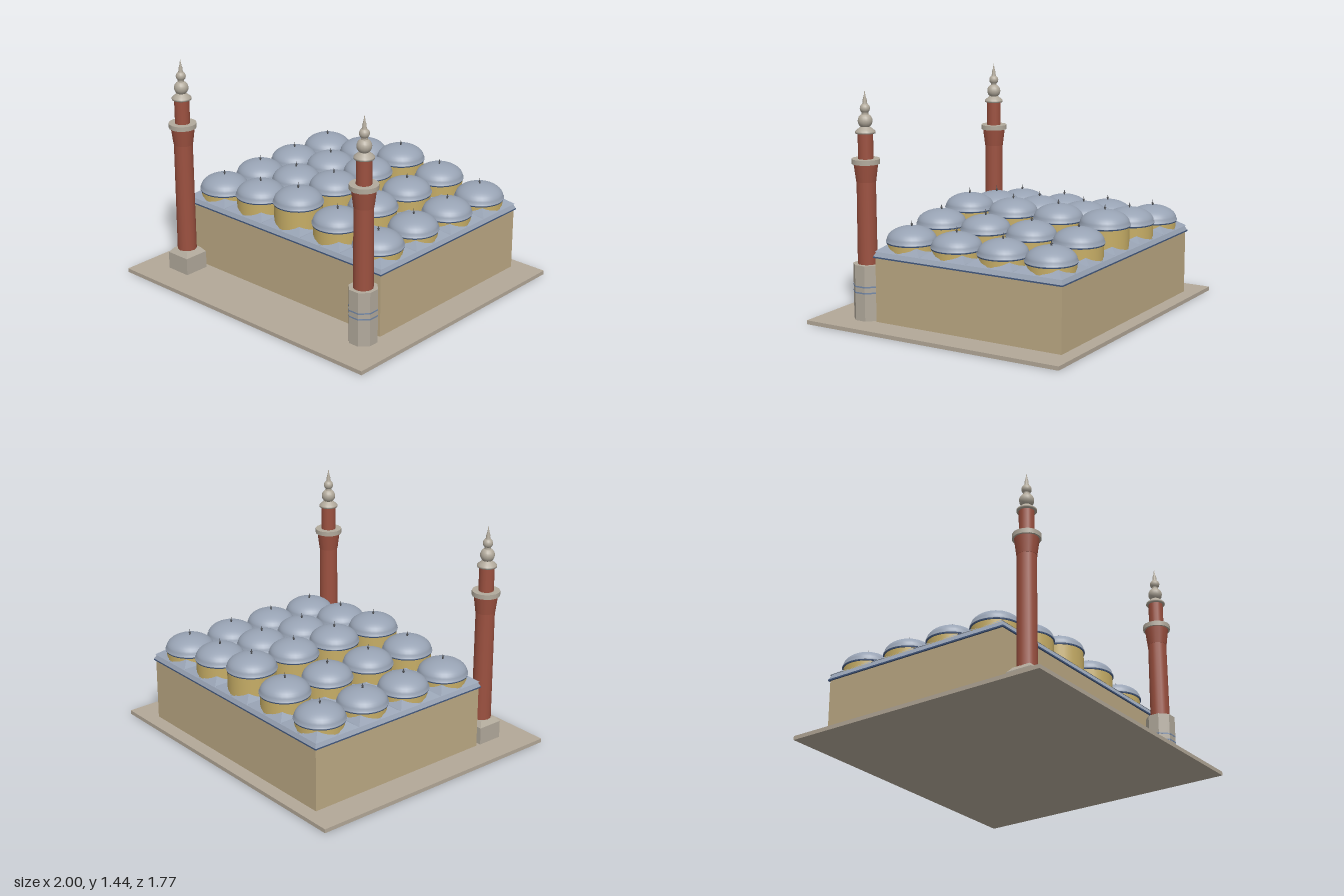
import * as THREE from 'three';

const mat = (name, color, double = false) => {
  const m = new THREE.MeshStandardMaterial({ color });
  m.name = name;
  if (double) m.side = THREE.DoubleSide;
  return m;
};

export function createModel() {
  const paving = mat('paving', 0xb3a898);
  const wallStone = mat('wallStone', 0xbca984);
  const lead = mat('lead', 0x98a3b4, true);
  const trim = mat('darkBlueTrim', 0x445a80);
  const drumStone = mat('drumStone', 0xc6ad66);
  const brick = mat('redBrick', 0x9c5140);
  const paleStone = mat('paleStone', 0xb2aa9c);
  const band = mat('blueBand', 0x7488a6);
  const metal = mat('finialMetal', 0x4a4c50);
  const model = new THREE.Group();

  const add = (parent, name, geometry, material, x = 0, y = 0, z = 0) => {
    const mesh = new THREE.Mesh(geometry, material);
    mesh.name = name;
    mesh.position.set(x, y, z);
    parent.add(mesh);
    return mesh;
  };
  // box and cylinder given by their bottom and top heights
  const box = (parent, name, w, d, y0, y1, material, x = 0, z = 0) =>
    add(parent, name, new THREE.BoxGeometry(w, y1 - y0, d), material, x, (y0 + y1) / 2, z);
  const tube = (parent, name, rBottom, rTop, y0, y1, material, sides = 32) =>
    add(parent, name, new THREE.CylinderGeometry(rTop, rBottom, y1 - y0, sides), material, 0, (y0 + y1) / 2, 0);
  const lathe = (points, sides) =>
    new THREE.LatheGeometry(points.map(([r, y]) => new THREE.Vector2(r, y)), sides);
  // four-sided frustum with separate bottom and top sizes
  const frustum = (w0, d0, w1, d1, h) => {
    const g = new THREE.BoxGeometry(1, h, 1);
    const p = g.attributes.position;
    for (let i = 0; i < p.count; i++) {
      const top = p.getY(i) > 0;
      p.setX(i, p.getX(i) * (top ? w1 : w0));
      p.setZ(i, p.getZ(i) * (top ? d1 : d0));
    }
    g.computeVertexNormals();
    return g;
  };

  // Platform, hall and roof edge
  const cz = -0.1465;
  box(model, 'platform', 2, 1.77, 0, 0.025, paving);
  box(model, 'hallWalls', 1.615, 1.295, 0.025, 0.43, wallStone, 0, cz);
  box(model, 'eavesTrim', 1.637, 1.315, 0.427, 0.436, trim, 0, cz);
  add(model, 'roofSlope', frustum(1.635, 1.313, 1.6, 1.28, 0.034), lead, 0, 0.453, cz);

  // Folded lead triangles that rise from each roof bay to the drum
  const bay = 0.325, h = bay / 2;
  const foldPoints = [];
  for (let k = 0; k < 4; k++) {
    const a = k * Math.PI / 2;
    const at = (x, y, z) => [x * Math.cos(a) + z * Math.sin(a), y, z * Math.cos(a) - x * Math.sin(a)];
    const apex = at(0.106, 0.506, 0.106), corner = at(h, 0.466, h);
    foldPoints.push(...apex, ...at(0, 0.466, h), ...corner);
    foldPoints.push(...apex, ...corner, ...at(h, 0.466, 0));
  }
  const foldGeometry = new THREE.BufferGeometry();
  foldGeometry.setAttribute('position', new THREE.Float32BufferAttribute(foldPoints, 3));
  foldGeometry.computeVertexNormals();

  // Dome shell, shared by all bays
  const domeProfile = [[0.158, 0], [0.158, 0.006], [0.153, 0.008]];
  for (let i = 1; i <= 10; i++) {
    const a = i / 10 * Math.PI / 2;
    domeProfile.push([0.153 * Math.cos(a), 0.01 + 0.083 * Math.sin(a)]);
  }
  const domeGeometry = lathe(domeProfile, 32);
  const finialGeometry = lathe([[0.006, 0], [0.004, 0.008], [0.008, 0.014], [0.003, 0.02], [0, 0.04]], 8);

  // Five by four domes, tallest along the middle
  for (let i = -2; i <= 2; i++) {
    for (let j = 0; j < 4; j++) {
      const drumTop = 0.61 - 0.045 * Math.abs(i);
      const unit = new THREE.Group();
      unit.name = 'domeBay';
      unit.position.set(i * bay, 0, -0.634 + j * bay);
      add(unit, 'roofFolds', foldGeometry, lead);
      tube(unit, 'drum', 0.15, 0.15, 0.44, drumTop - 0.007, drumStone);
      tube(unit, 'drumTrim', 0.155, 0.157, drumTop - 0.008, drumTop, trim);
      add(unit, 'dome', domeGeometry, lead, 0, drumTop, 0);
      add(unit, 'finial', finialGeometry, metal, 0, drumTop + 0.09, 0);
      model.add(unit);
    }
  }

  // Upper part common to both minarets
  const minaret = (name, x, z, shaftBottom) => {
    const g = new THREE.Group();
    g.name = name;
    g.position.set(x, 0, z);
    tube(g, 'shaft', 0.061, 0.059, shaftBottom, 0.88, brick, 16);
    tube(g, 'corbel', 0.061, 0.075, 0.88, 0.99, brick, 16);
    tube(g, 'balcony', 0.087, 0.087, 0.99, 1.02, paleStone, 16);
    tube(g, 'upperShaft', 0.047, 0.047, 1.02, 1.175, brick, 16);
    add(g, 'cap', lathe([[0, 1.172], [0.061, 1.175], [0.061, 1.187], [0.046, 1.2], [0.028, 1.215]], 16), paleStone);
    add(g, 'lowerBulb', new THREE.SphereGeometry(0.045, 16, 12), paleStone, 0, 1.25, 0);
    tube(g, 'neck', 0.02, 0.02, 1.28, 1.31, paleStone, 12);
    add(g, 'upperBulb', new THREE.SphereGeometry(0.031, 16, 12), paleStone, 0, 1.325, 0);
    add(g, 'spire', lathe([[0.018, 1.345], [0.012, 1.365], [0.013, 1.375], [0.006, 1.4], [0, 1.437]], 12), paleStone);
    model.add(g);
    return g;
  };

  // Right minaret on a square plinth
  const right = minaret('rightMinaret', -0.728, 0.614, 0.155);
  box(right, 'squarePlinth', 0.168, 0.168, 0.025, 0.137, paleStone);
  add(right, 'plinthShoulder', frustum(0.166, 0.166, 0.118, 0.118, 0.03), paleStone, 0, 0.152, 0);

  // Left minaret on a tall octagonal plinth with two bands
  const left = minaret('leftMinaret', 0.757, 0.596, 0.37);
  const octagon = (name, r, y0, y1, material) => {
    const m = tube(left, name, r, r, y0, y1, material, 8);
    const flat = m.geometry.toNonIndexed();
    flat.computeVertexNormals();
    m.geometry = flat;
    m.rotation.y = Math.PI / 8;
  };
  octagon('octagonalPlinth', 0.091, 0.025, 0.372, paleStone);
  for (const y of [0.2, 0.238]) octagon('plinthBand', 0.0922, y - 0.004, y + 0.005, band);

  return model;
}
